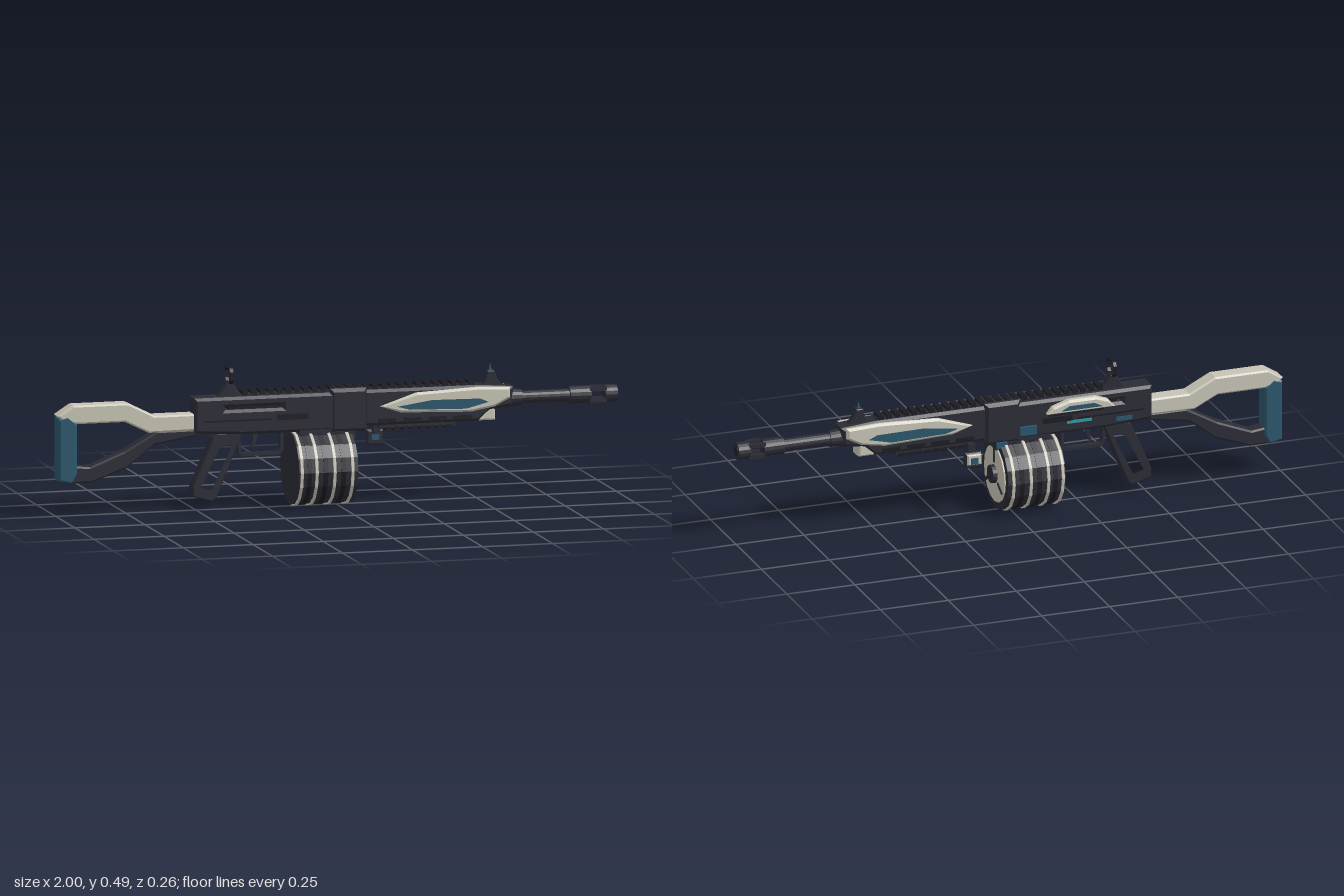
import * as THREE from 'three';

const paint = (name, color) => {
  const m = new THREE.MeshStandardMaterial({ color });
  m.name = name;
  return m;
};

export function createModel() {
  const root = new THREE.Group();
  root.name = 'model';
  const dark = paint('charcoal', 0x2b2b35);
  const black = paint('black', 0x1b1b22);
  const cream = paint('cream', 0xc6c2b4);
  const teal = paint('teal', 0x2a566c);
  const cyan = paint('cyan', 0x2f9a9e);
  for (const m of [dark, black, cream, teal, cyan]) m.flatShading = true;

  const add = (name, geo, mat, x = 0, y = 0, z = 0) => {
    const mesh = new THREE.Mesh(geo, mat);
    mesh.name = name;
    mesh.position.set(x, y, z);
    root.add(mesh);
    return mesh;
  };
  // box given by its limits on each axis
  const box = (name, mat, x0, x1, y0, y1, z0, z1) =>
    add(name, new THREE.BoxGeometry(x1 - x0, y1 - y0, z1 - z0), mat,
      (x0 + x1) / 2, (y0 + y1) / 2, (z0 + z1) / 2);
  const vecs = (pts) => pts.map(([x, y]) => new THREE.Vector2(x, y));
  // side outline extruded across z, with chamfered edges
  const slab = (name, mat, pts, z0, z1, bevel = 0, holes = []) => {
    const shape = new THREE.Shape(vecs(pts));
    for (const h of holes) shape.holes.push(new THREE.Path(vecs(h)));
    const geo = new THREE.ExtrudeGeometry(shape, {
      depth: z1 - z0 - 2 * bevel, bevelEnabled: bevel > 0, bevelSegments: 1,
      bevelSize: bevel, bevelThickness: bevel, bevelOffset: -bevel,
    });
    return add(name, geo, mat, 0, 0, z0 + bevel);
  };
  const rect = (x0, x1, y0, y1) => [[x0, y0], [x1, y0], [x1, y1], [x0, y1]];
  // cylinder lying along x
  const rod = (name, mat, x0, x1, r0, r1, y, sides = 16, z = 0) => {
    const geo = new THREE.CylinderGeometry(r1, r0, x1 - x0, sides);
    geo.rotateZ(-Math.PI / 2);
    return add(name, geo, mat, (x0 + x1) / 2, y, z);
  };

  // Stock
  slab('stockTop', cream, [[-1, 0.355], [-0.945, 0.39], [-0.75, 0.39], [-0.655, 0.342], [-0.5, 0.342],
    [-0.5, 0.285], [-0.675, 0.283], [-0.76, 0.325], [-0.935, 0.325], [-0.985, 0.34]], -0.032, 0.032, 0.006);
  slab('buttPad', teal, [[-0.997, 0.345], [-0.965, 0.354], [-0.932, 0.326], [-0.932, 0.15],
    [-0.95, 0.118], [-0.997, 0.128]], -0.034, 0.034, 0.006);
  slab('stockStrut', dark, [[-0.97, 0.118], [-0.88, 0.118], [-0.75, 0.165], [-0.655, 0.24], [-0.5, 0.265],
    [-0.5, 0.288], [-0.645, 0.287], [-0.76, 0.222], [-0.885, 0.172], [-0.96, 0.18]], -0.028, 0.028, 0.006);

  // Receiver
  slab('receiver', dark, [[-0.515, 0.275], [-0.34, 0.265], [0, 0.265], [0, 0.397], [-0.515, 0.397]],
    -0.043, 0.043, 0.01, [rect(-0.405, -0.2, 0.352, 0.362)]);
  box('receiverCore', black, -0.39, -0.2, 0.345, 0.36, -0.025, 0.025);
  slab('receiverCollar', dark, rect(-0.03, 0.1, 0.258, 0.41), -0.048, 0.048, 0.012);
  box('magazineWell', dark, -0.14, 0.06, 0.235, 0.28, -0.04, 0.04);
  for (const s of [1, -1]) {
    box('receiverGroove', black, -0.48, -0.24, 0.312, 0.318, s * 0.043 - 0.002, s * 0.043 + 0.002);
    box('receiverPort', black, -0.22, -0.11, 0.31, 0.33, s * 0.043 - 0.003, s * 0.043 + 0.003);
  }

  // Side cover and controls on the right side
  slab('sideCover', cream, [[-0.37, 0.35], [-0.12, 0.35], [-0.14, 0.375], [-0.2, 0.394],
    [-0.3, 0.394], [-0.345, 0.378]], -0.072, -0.04, 0.008);
  slab('sideCoverInset', teal, [[-0.32, 0.36], [-0.17, 0.36], [-0.2, 0.375], [-0.29, 0.375]], -0.075, -0.07);
  box('sideCoverBase', black, -0.33, -0.13, 0.34, 0.352, -0.06, -0.04);
  box('chargingStem', dark, -0.06, -0.04, 0.297, 0.308, -0.06, -0.04);
  box('chargingKnob', teal, -0.08, -0.02, 0.287, 0.318, -0.07, -0.058);
  box('statusStrip', cyan, -0.29, -0.2, 0.3, 0.31, -0.047, -0.042);
  box('rearButton', teal, -0.44, -0.38, 0.285, 0.3, -0.047, -0.042);
  box('magazineCatch', teal, 0.02, 0.06, 0.245, 0.265, -0.052, -0.038);

  // Pistol grip, trigger and guard
  slab('gripFrame', dark, [[-0.445, 0.255], [-0.43, 0.27], [-0.34, 0.27], [-0.352, 0.24], [-0.432, 0.045],
    [-0.445, 0.032], [-0.518, 0.052], [-0.518, 0.085]], -0.025, 0.025, 0.004,
    [[[-0.425, 0.222], [-0.37, 0.235], [-0.448, 0.068], [-0.494, 0.082]]]);
  slab('triggerGuard', dark, [[-0.358, 0.27], [-0.35, 0.195], [-0.338, 0.185], [-0.205, 0.185],
    [-0.19, 0.2], [-0.19, 0.27]], -0.012, 0.012, 0,
    [[[-0.345, 0.262], [-0.34, 0.2], [-0.335, 0.196], [-0.21, 0.196], [-0.201, 0.205], [-0.201, 0.262]]]);
  slab('trigger', dark, [[-0.3, 0.268], [-0.28, 0.268], [-0.285, 0.235], [-0.295, 0.212],
    [-0.305, 0.213], [-0.297, 0.24]], -0.006, 0.006);

  // Drum magazine
  const dy = 0.134;
  rod('drum', dark, -0.165, 0.046, 0.127, 0.127, dy);
  for (const x of [-0.155, -0.102, -0.038, 0.026]) rod('drumRing', cream, x - 0.005, x + 0.005, 0.132, 0.132, dy);
  for (const x of [-0.128, -0.07, -0.006]) rod('drumBand', black, x - 0.008, x + 0.008, 0.129, 0.129, dy);
  rod('drumFace', cream, 0.045, 0.051, 0.102, 0.101, dy);
  rod('drumHub', dark, 0.045, 0.066, 0.033, 0.032, dy);
  for (let i = 0; i < 3; i++) {
    const a = i * Math.PI * 2 / 3;
    const slot = add('drumSlot', new THREE.BoxGeometry(0.006, 0.05, 0.012), dark,
      0.051, dy + Math.cos(a) * 0.068, Math.sin(a) * 0.068);
    slot.rotation.x = a;
  }

  // Handguard
  slab('handguard', dark, [[0.09, 0.275], [0.5, 0.275], [0.54, 0.31], [0.62, 0.325], [0.625, 0.39],
    [0.5, 0.4], [0.09, 0.4]], -0.038, 0.038, 0.01);
  for (const s of [1, -1]) {
    slab('sidePanel', cream, [[0.147, 0.342], [0.22, 0.318], [0.47, 0.31], [0.555, 0.325], [0.61, 0.353],
      [0.61, 0.39], [0.49, 0.395], [0.275, 0.385]], s > 0 ? 0.028 : -0.052, s > 0 ? 0.052 : -0.028, 0.008);
    slab('panelInset', teal, [[0.205, 0.34], [0.25, 0.328], [0.45, 0.323], [0.53, 0.343], [0.5, 0.356],
      [0.33, 0.358]], s > 0 ? 0.05 : -0.055, s > 0 ? 0.055 : -0.05);
    for (let i = 0; i < 4; i++) {
      const x = 0.14 + i * 0.09;
      box('handguardSlot', black, x, x + 0.065, 0.286, 0.298, s * 0.038 - 0.002, s * 0.038 + 0.002);
    }
  }
  slab('frontBlock', cream, rect(0.5, 0.56, 0.275, 0.335), -0.031, 0.031, 0.006);

  // Toothed rails above and below
  box('topRail', dark, -0.34, 0.49, 0.39, 0.405, -0.022, 0.022);
  for (let x = -0.33; x < 0.485; x += 0.031) box('topRailTooth', black, x - 0.01, x + 0.01, 0.4, 0.415, -0.024, 0.024);
  box('lowerRail', dark, 0.15, 0.42, 0.262, 0.28, -0.022, 0.022);
  for (let x = 0.18; x < 0.41; x += 0.031) box('lowerRailTooth', black, x - 0.01, x + 0.01, 0.253, 0.266, -0.024, 0.024);

  // Small lamp hanging on the right side
  box('lampArm', dark, 0.14, 0.165, 0.235, 0.275, -0.052, -0.02);
  slab('lampBody', dark, rect(0.122, 0.182, 0.193, 0.248), -0.069, -0.043, 0.006);
  slab('lampCover', cream, rect(0.127, 0.177, 0.208, 0.245), -0.079, -0.067, 0.003);
  for (const z of [-0.0805, -0.0425]) box('lampInset', teal, 0.14, 0.166, 0.212, 0.234, z - 0.002, z + 0.002);

  // Barrel and vented muzzle
  const by = 0.346;
  rod('barrelCollar', dark, 0.6, 0.66, 0.034, 0.028, by);
  rod('barrel', dark, 0.62, 0.84, 0.022, 0.022, by);
  rod('muzzleRear', dark, 0.83, 0.905, 0.031, 0.031, by);
  rod('muzzleFront', dark, 0.955, 0.999, 0.031, 0.031, by);
  rod('bore', black, 0.99, 1, 0.015, 0.015, by);
  for (const y of [-1, 1]) for (const z of [-1, 1]) {
    const c = by + y * 0.02;
    box('muzzleBar', dark, 0.9, 0.96, c - 0.007, c + 0.007, z * 0.02 - 0.007, z * 0.02 + 0.007);
  }

  // Front sight
  slab('frontSightBase', dark, [[0.515, 0.385], [0.595, 0.385], [0.575, 0.412], [0.562, 0.445],
    [0.538, 0.445], [0.53, 0.412]], -0.015, 0.015, 0.003);
  add('frontSightTip', new THREE.ConeGeometry(0.006, 0.028, 8), teal, 0.55, 0.458, 0);

  // Rear sight with an eight-sided ring
  slab('rearSightBase', dark, [[-0.43, 0.392], [-0.335, 0.392], [-0.355, 0.415], [-0.372, 0.445],
    [-0.39, 0.445], [-0.41, 0.415]], -0.016, 0.016, 0.003);
  const octagon = (w, h, c) => vecs([[-w + c, -h], [w - c, -h], [w, -h + c], [w, h - c],
    [w - c, h], [-w + c, h], [-w, h - c], [-w, -h + c]]);
  const ring = new THREE.Shape(octagon(0.036, 0.027, 0.012));
  ring.holes.push(new THREE.Path(octagon(0.031, 0.022, 0.01)));
  const ringGeo = new THREE.ExtrudeGeometry(ring, { depth: 0.012, bevelEnabled: false });
  ringGeo.rotateY(Math.PI / 2);
  add('rearSightRing', ringGeo, black, -0.387, 0.468, 0);

  return root;
}
